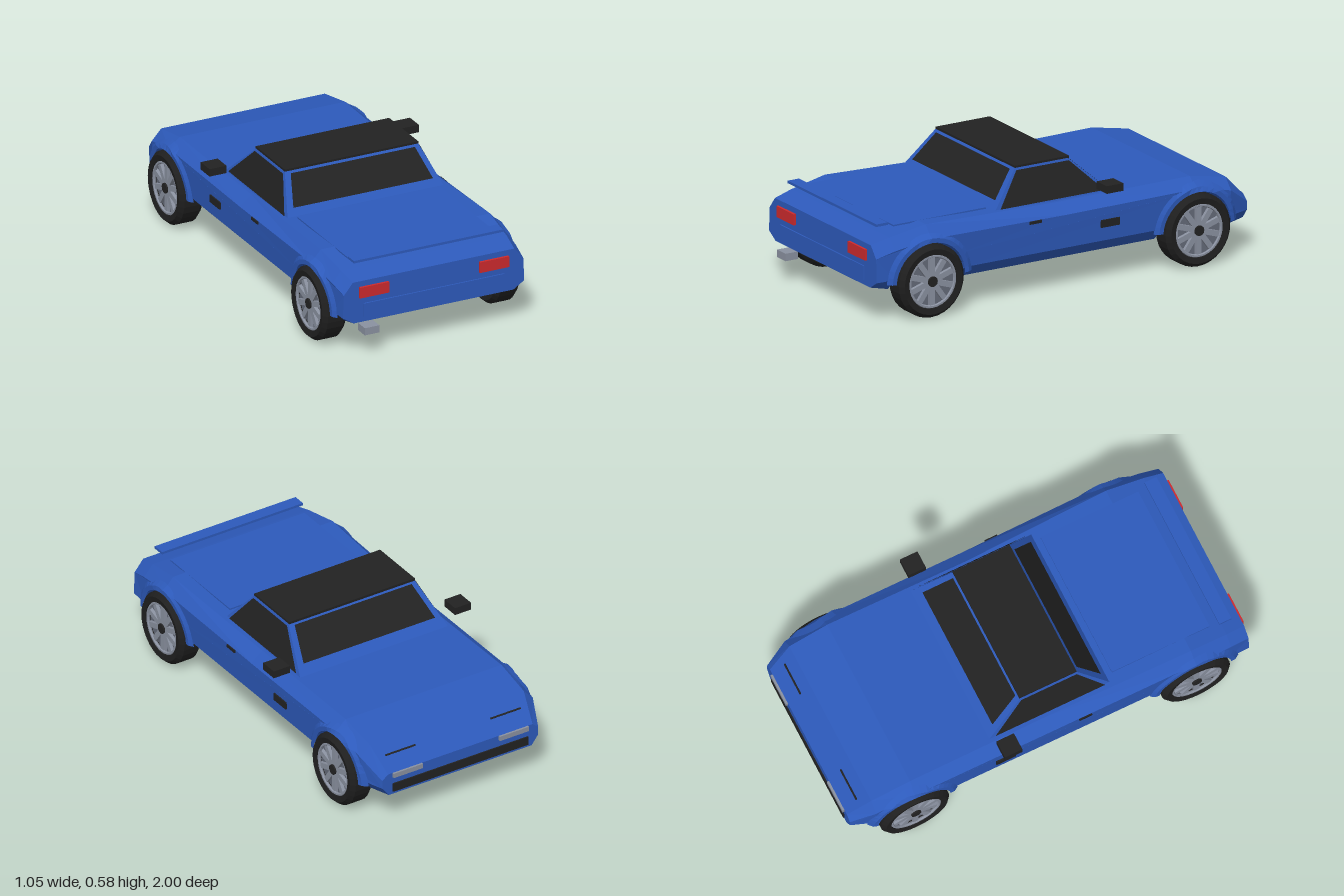
import * as THREE from 'three';

const mat = (name, color, extra = {}) => {
  const m = new THREE.MeshStandardMaterial({ color, flatShading: true, ...extra });
  m.name = name;
  return m;
};

// Body stations, tail to nose: z, deck x, deck y, shoulder x, shoulder y, side x, floor x, floor y
const STATIONS = [
  [0.98, 0.405, 0.365, 0.45, 0.31, 0.455, 0.40, 0.165],
  [0.8875, 0.415, 0.388, 0.46, 0.335, 0.458, 0.40, 0.143],
  [0.705, 0.425, 0.422, 0.474, 0.366, 0.462, 0.40, 0.14],
  [0, 0.41, 0.403, 0.47, 0.357, 0.458, 0.40, 0.14],
  [-0.69, 0.415, 0.408, 0.47, 0.362, 0.46, 0.40, 0.14],
  [-0.88, 0.41, 0.372, 0.458, 0.32, 0.456, 0.40, 0.14],
  [-0.99, 0.385, 0.265, 0.415, 0.24, 0.415, 0.38, 0.155],
];
const SILL = 0.2, WHEEL_Y = 0.17, ARCH = 0.185, WHEELS = [0.705, -0.695];
const ARCH_ANGLE = Math.asin((SILL - WHEEL_Y) / ARCH);
const ARCH_HALF = ARCH * Math.cos(ARCH_ANGLE);

// Interpolated section at any z
function section(z) {
  let i = 0;
  while (i < STATIONS.length - 2 && z < STATIONS[i + 1][0]) i++;
  const a = STATIONS[i], b = STATIONS[i + 1], t = (z - a[0]) / (b[0] - a[0]);
  const [, xt, yt, xs, ys, xl, xb, yb] = a.map((v, k) => v + (b[k] - v) * t);
  return { xt, yt, xs, ys, xl, xb, yb };
}

// Outer surface x at a side position
function sideX(z, y) {
  const s = section(z);
  if (y <= s.ys) return s.xl + (s.xs - s.xl) * (y - SILL) / (s.ys - SILL);
  return s.xs + (s.xt - s.xs) * Math.min(1, (y - s.ys) / (s.yt - s.ys));
}

// Surface through rows of points
function loft(rows) {
  const p = [];
  for (let i = 0; i < rows.length - 1; i++)
    for (let j = 0; j < rows[i].length - 1; j++) {
      const a = rows[i][j], b = rows[i][j + 1], c = rows[i + 1][j + 1], d = rows[i + 1][j];
      p.push(...a, ...b, ...c, ...a, ...c, ...d);
    }
  const g = new THREE.BufferGeometry();
  g.setAttribute('position', new THREE.Float32BufferAttribute(p, 3));
  g.computeVertexNormals();
  return g;
}

export function createModel() {
  const root = new THREE.Group();
  root.name = 'sportsCar';
  const paint = mat('blue paint', 0x2d5abb, { side: THREE.DoubleSide });
  const black = mat('black trim', 0x222222, { side: THREE.DoubleSide });
  const rubber = mat('tyre rubber', 0x1f1f1f);
  const silver = mat('silver metal', 0x8a91a0);
  const darkSilver = mat('shaded metal', 0x646a78, { side: THREE.DoubleSide });
  const red = mat('red lens', 0xcc2a2d);

  const add = (name, geo, m, parent = root) => {
    const mesh = new THREE.Mesh(geo, m);
    mesh.name = name;
    parent.add(mesh);
    return mesh;
  };
  const box = (name, m, x0, x1, y0, y1, z0, z1) =>
    add(name, new THREE.BoxGeometry(x1 - x0, y1 - y0, z1 - z0), m)
      .position.set((x0 + x1) / 2, (y0 + y1) / 2, (z0 + z1) / 2);
  const pair = (name, m, x0, x1, ...rest) => {
    box(name + 'Left', m, x0, x1, ...rest);
    box(name + 'Right', m, -x1, -x0, ...rest);
  };

  // Deck, bonnet and chamfered shoulders
  add('upperBody', loft(STATIONS.map(([z, xt, yt, xs, ys]) =>
    [[-xs, ys, z], [-xt, yt, z], [xt, yt, z], [xs, ys, z]])), paint);
  // Centre floor
  add('floor', loft(STATIONS.map(([z, , , , , , , yb]) => [[-0.19, yb, z], [0.19, yb, z]])), paint);

  // Tail and nose faces
  for (const [name, z] of [['tailFace', 0.98], ['noseFace', -0.99]]) {
    const s = section(z);
    const half = [[s.xb, s.yb], [s.xl, SILL], [s.xs, s.ys], [s.xt, s.yt]];
    add(name, loft(half.map(([x, y]) => [[-x, y, z], [x, y, z]])), paint);
  }

  const arc = (zc, r, from, to, n = 20) => Array.from({ length: n + 1 }, (_, i) => {
    const a = from + (to - from) * i / n;
    return [zc + r * Math.cos(a), WHEEL_Y + r * Math.sin(a)];
  });

  for (const side of [1, -1]) {
    const tag = side > 0 ? 'Left' : 'Right';
    const flip = rows => rows.map(r => r.map(([x, y, z]) => [x * side, y, z]));

    // Side wall with wheel arch cutouts
    const outline = STATIONS.map(s => [s[0], s[4]]).concat([[-0.99, SILL]]);
    for (const zc of [...WHEELS].reverse())
      outline.push(...arc(zc, ARCH, Math.PI - ARCH_ANGLE, ARCH_ANGLE));
    outline.push([0.98, SILL]);
    const wall = new THREE.ShapeGeometry(new THREE.Shape(outline.map(p => new THREE.Vector2(...p))));
    const pos = wall.attributes.position;
    for (let i = 0; i < pos.count; i++) {
      const z = pos.getX(i), y = pos.getY(i);
      pos.setXYZ(i, side * sideX(z, y), y, z);
    }
    wall.computeVertexNormals();
    add('sideWall' + tag, wall, paint);

    // Tucked sills and outer floor between the arches
    const [r, f] = WHEELS;
    for (const zs of [[0.98, r + ARCH_HALF], [r - ARCH_HALF, 0, f + ARCH_HALF], [f - ARCH_HALF, -0.99]])
      add('sill' + tag, loft(flip(zs.map(z => {
        const s = section(z);
        return [[s.xl, SILL, z], [s.xb, s.yb, z], [0.19, s.yb, z]];
      }))), paint);

    for (const zc of WHEELS) {
      // Sloping wheel well
      const edge = arc(zc, ARCH, ARCH_ANGLE, Math.PI - ARCH_ANGLE).map(([z, y]) => [sideX(z, y), y, z]);
      const z0 = zc + ARCH_HALF, z1 = zc - ARCH_HALF;
      edge.unshift([0.40, section(z0).yb, z0]);
      edge.push([0.40, section(z1).yb, z1]);
      add('wheelWell' + tag, loft(flip(edge.map(p => [p, [0.19, section(p[2]).yb, p[2]]]))), paint);

      // Flared arch lip
      const lip = [ARCH - 0.006, 0.2, 0.222].map((rad, k) =>
        arc(zc, rad, 0.05, Math.PI - 0.05).map(([z, y]) => {
          const x = sideX(z, Math.max(y, SILL));
          return [k === 2 ? x - 0.002 : Math.min(x + 0.012, 0.482), y, z];
        }));
      add('archFlare' + tag, loft(flip(lip)), paint);

      // Wheel: chamfered tyre, recessed rim, spokes and hub
      const wheel = new THREE.Group();
      wheel.name = 'wheel' + tag;
      wheel.position.set(side * 0.435, WHEEL_Y, zc);
      wheel.rotation.z = -side * Math.PI / 2;
      root.add(wheel);
      const profile = [[0.125, -0.055], [0.152, -0.06], [0.17, -0.04], [0.17, 0.04], [0.152, 0.06],
        [0.125, 0.055], [0.125, -0.055]].map(p => new THREE.Vector2(...p));
      add('tyre', new THREE.LatheGeometry(profile, 32), rubber, wheel);
      add('rimDisc', new THREE.CylinderGeometry(0.126, 0.126, 0.03, 32), darkSilver, wheel).position.y = 0.015;
      const ring = add('rimRing', new THREE.TorusGeometry(0.118, 0.008, 6, 32), silver, wheel);
      ring.rotation.x = Math.PI / 2;
      ring.position.y = 0.046;
      for (let i = 0; i < 10; i++) {
        const spoke = new THREE.BoxGeometry(0.1, 0.016, 0.026).translate(0.068, 0.04, 0);
        add('spoke', spoke.rotateY(i * Math.PI / 5), silver, wheel);
      }
      add('hub', new THREE.CylinderGeometry(0.024, 0.024, 0.02, 12), black, wheel).position.y = 0.046;
    }
  }

  // Cabin frame: base and roof corners in order around the car
  const base = [[-0.395, 0.4, 0.325], [0.395, 0.4, 0.325], [0.395, 0.4, -0.29], [-0.395, 0.4, -0.29]];
  const top = [[-0.335, 0.572, 0.18], [0.335, 0.572, 0.18], [0.335, 0.572, -0.1], [-0.335, 0.572, -0.1]];
  add('cabinFrame', loft([[...base, base[0]], [...top, top[0]]]), paint);
  box('roofPanel', black, -0.335, 0.335, 0.57, 0.582, -0.105, 0.18);

  // Window panes set just proud of each cabin face
  ['rearWindow', 'sideWindowLeft', 'windscreen', 'sideWindowRight'].forEach((name, i) => {
    const [a, b, c, d] = [base[i], base[(i + 1) % 4], top[(i + 1) % 4], top[i]].map(p => new THREE.Vector3(...p));
    const n = b.clone().sub(a).cross(d.clone().sub(a)).normalize().multiplyScalar(0.004);
    const mu = 0.04, v0 = i % 2 ? 0.06 : 0.24, v1 = 0.94;
    const at = (u, v) => a.clone().lerp(b, u).lerp(d.clone().lerp(c, u), v).add(n).toArray();
    add(name, loft([[at(mu, v0), at(1 - mu, v0)], [at(mu, v1), at(1 - mu, v1)]]), black);
  });

  // Mirrors, door handles and side vents
  pair('mirror', black, 0.44, 0.525, 0.44, 0.476, -0.272, -0.185);
  pair('doorHandle', black, 0.46, 0.477, 0.345, 0.358, 0.125, 0.188);
  pair('sideVent', black, 0.455, 0.473, 0.265, 0.3, -0.287, -0.19);

  // Tail details
  box('rearDeckPanel', paint, -0.357, 0.357, 0.415, 0.422, 0.345, 0.832);
  box('spoiler', paint, -0.375, 0.375, 0.434, 0.446, 0.872, 0.932);
  box('rearBumperPanel', paint, -0.352, 0.352, 0.19, 0.255, 0.975, 0.987);
  pair('tailLight', red, 0.228, 0.374, 0.286, 0.338, 0.975, 0.992);
  box('exhaust', silver, -0.355, -0.282, 0.105, 0.14, 0.935, 1);

  // Nose details
  box('grille', black, -0.36, 0.36, 0.168, 0.21, -0.996, -0.98);
  pair('headlight', silver, 0.205, 0.36, 0.242, 0.265, -1, -0.98);
  for (const s of [1, -1]) {
    const slot = add('bonnetSlot', new THREE.BoxGeometry(0.16, 0.006, 0.008), black);
    slot.position.set(s * 0.28, 0.325, -0.929);
    slot.rotation.x = -0.77;
  }
  return root;
}
